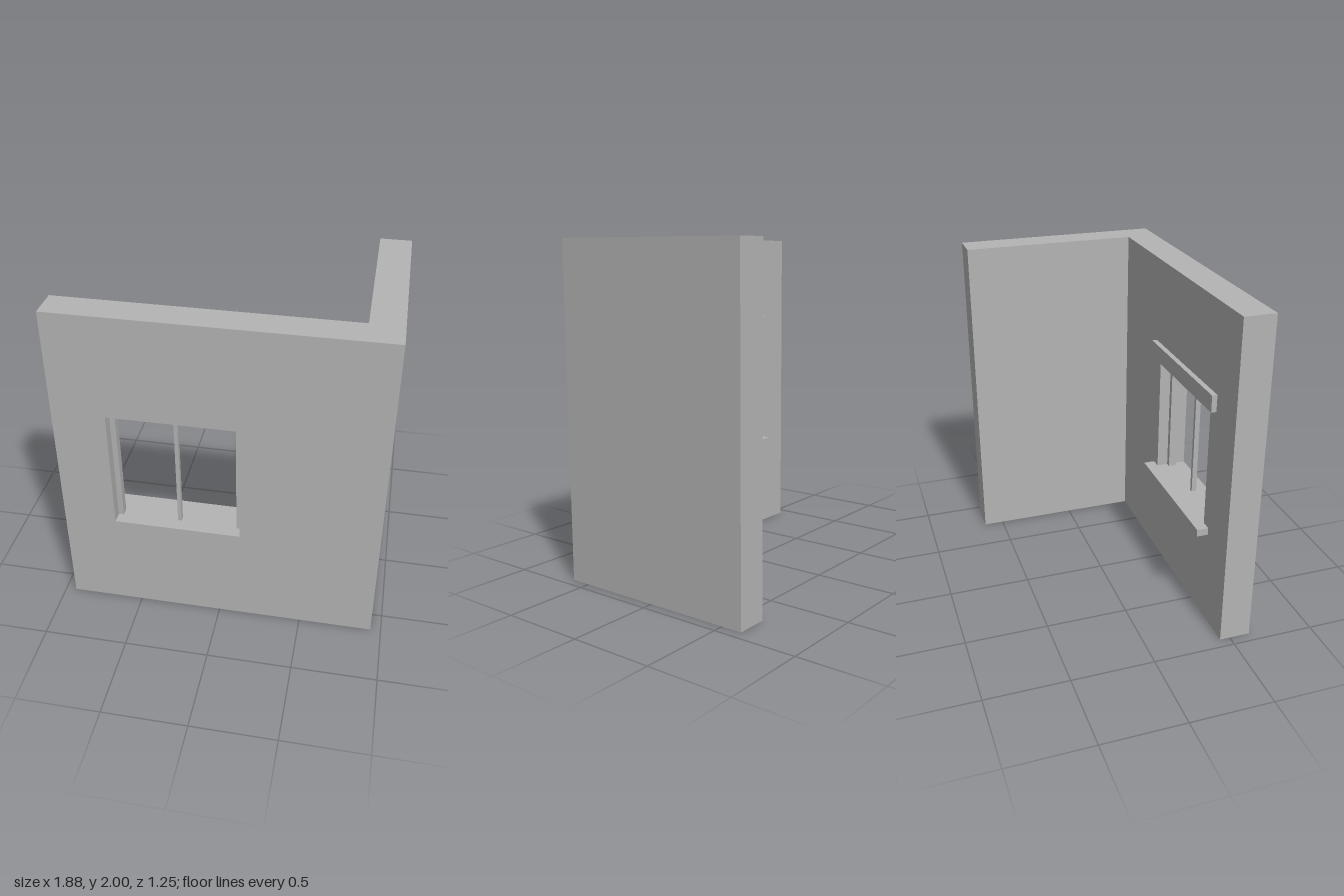
import * as THREE from 'three';

export function createModel() {
  const group = new THREE.Group();
  const plaster = new THREE.MeshStandardMaterial({ color: 0xb4b4b4 });
  plaster.name = 'grey plaster';

  const add = (name, geometry) => {
    const mesh = new THREE.Mesh(geometry, plaster);
    mesh.name = name;
    group.add(mesh);
    return mesh;
  };

  // Box given by its low and high corner on each axis
  const box = (name, [x0, x1], [y0, y1], [z0, z1]) =>
    add(name, new THREE.BoxGeometry(x1 - x0, y1 - y0, z1 - z0))
      .position.set((x0 + x1) / 2, (y0 + y1) / 2, (z0 + z1) / 2);

  const halfWidth = 0.9375, halfDepth = 0.625, height = 2, thickness = 0.1875;
  const inner = halfDepth - thickness;
  const left = -0.625, right = 0.125, bottom = 0.625, top = 1.378;

  // Front wall with the window opening cut through it
  const outline = new THREE.Shape([
    new THREE.Vector2(-halfWidth, 0), new THREE.Vector2(halfWidth, 0),
    new THREE.Vector2(halfWidth, height), new THREE.Vector2(-halfWidth, height),
  ]);
  outline.holes.push(new THREE.Path([
    new THREE.Vector2(left, bottom), new THREE.Vector2(left, top),
    new THREE.Vector2(right, top), new THREE.Vector2(right, bottom),
  ]));
  add('frontWall', new THREE.ExtrudeGeometry(outline, { depth: thickness, bevelEnabled: false }))
    .position.z = inner;

  // Side wall closing the corner
  box('sideWall', [halfWidth - thickness, halfWidth], [0, height], [-halfDepth, inner]);

  // Lintel board and sill on the inner face
  box('lintel', [-0.7, 0.2], [top, 1.48], [0.406, inner]);
  box('sill', [-0.6875, 0.1875], [0.58, bottom], [0.3675, inner]);

  // Window posts, set midway through the wall
  const mid = halfDepth - thickness / 2;
  const post = (name, x0, x1, depth) =>
    box(name, [x0, x1], [bottom, top], [mid - depth / 2, mid + depth / 2]);
  post('rightFramePost', left, left + 0.031, 0.05);
  post('leftFramePost', right - 0.031, right, 0.05);
  post('mullion', -0.261, -0.239, 0.031);

  return group;
}
